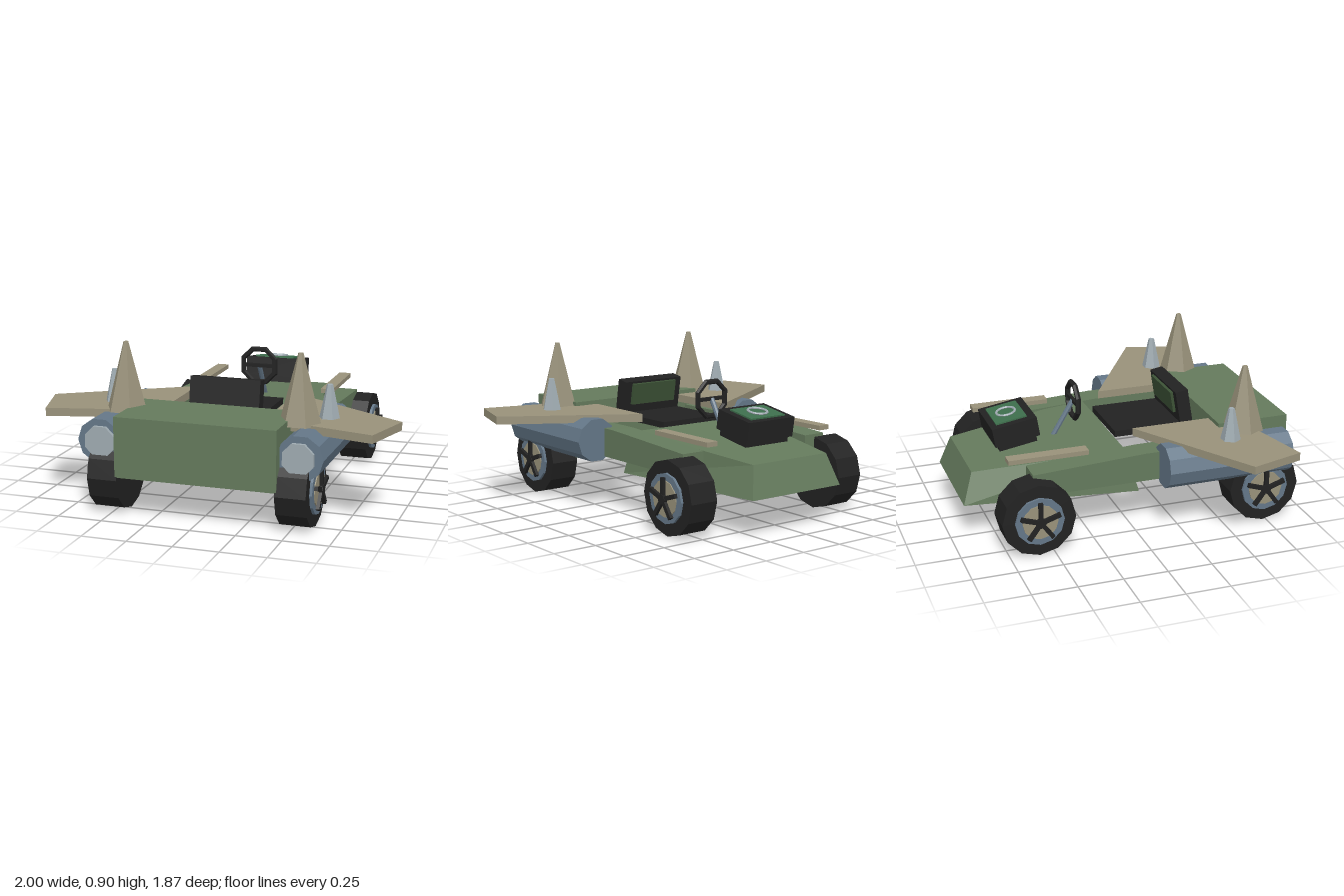
import * as THREE from 'three';

const mat = (name, color) => {
  const m = new THREE.MeshStandardMaterial({ color });
  m.name = name;
  return m;
};

export function createModel() {
  const model = new THREE.Group();
  model.name = 'buggy';
  const green = mat('body green', 0x647a5c);
  const beige = mat('bone beige', 0x98917a);
  const steel = mat('steel blue', 0x647788);
  const silver = mat('light silver', 0x9fabb1);
  const black = mat('black', 0x222222);
  const screenGreen = mat('screen green', 0x3d6e4c);
  const padGreen = mat('pad green', 0x3c5236);

  // Adds a faceted mesh
  const add = (name, geo, material, x = 0, y = 0, z = 0, parent = model) => {
    const g = geo.index ? geo.toNonIndexed() : geo;
    g.computeVertexNormals();
    const mesh = new THREE.Mesh(g, material);
    mesh.name = name;
    mesh.position.set(x, y, z);
    parent.add(mesh);
    return mesh;
  };
  const box = (w, h, d) => new THREE.BoxGeometry(w, h, d);
  const cyl = (r, len, sides) => new THREE.CylinderGeometry(r, r, len, sides);
  const poly = (pts) => new THREE.Shape(pts.map(([a, b]) => new THREE.Vector2(a, b)));
  const extrude = (pts, depth) => new THREE.ExtrudeGeometry(poly(pts), { depth, bevelEnabled: false });

  // Large box at the +z end
  add('engineBox', box(0.895, 0.333, 0.42), green, 0, 0.39, 0.72);

  // Tapered nose: a box with its eight corners moved
  const nose = box(1, 1, 1);
  const p = nose.attributes.position;
  for (let i = 0; i < p.count; i++) {
    const sx = Math.sign(p.getX(i)), top = p.getY(i) > 0, inner = p.getZ(i) > 0;
    const [x, y, z] = top
      ? (inner ? [0.407, 0.458, -0.03] : [0.26, 0.385, -0.87])
      : (inner ? [0.44, 0.212, 0.04] : [0.31, 0.212, -0.93]);
    p.setXYZ(i, sx * x, y, z);
  }
  add('nose', nose, green);

  // Wheel with hub, disc and five spokes
  const wheel = (s, z) => {
    const w = new THREE.Group();
    w.name = 'wheel';
    w.position.set(s * 0.52, 0.206, z);
    const disc = (name, r, x0, x1, sides, m) => {
      const g = cyl(r, x1 - x0, sides).rotateZ(Math.PI / 2);
      add(name, g, m, s * (x0 + x1) / 2, 0, 0, w);
    };
    disc('tire', 0.206, -0.083, 0.085, 12, black);
    disc('rim', 0.137, 0.08, 0.1, 12, steel);
    disc('hubDisc', 0.1, 0.09, 0.106, 12, beige);
    disc('hubCap', 0.028, 0.1, 0.127, 8, black);
    for (let i = 0; i < 5; i++) {
      const spoke = box(0.02, 0.115, 0.024).translate(0, 0.0575, 0).rotateX(i * Math.PI * 0.4);
      add('spoke', spoke, black, s * 0.114, 0, 0, w);
    }
    model.add(w);
  };

  for (const s of [1, -1]) {
    wheel(s, 0.73);
    wheel(s, -0.587);

    // Side rail joining nose and engine box, profile in (-z, y)
    const rail = extrude([[-0.55, 0.3], [0.59, 0.3], [0.59, 0.428], [-0.05, 0.463], [-0.55, 0.463]], 0.14);
    rail.rotateY(Math.PI / 2).translate(-0.07, 0, 0);
    add('sideRail', rail, green, s * 0.435);

    // Jet pod and end cap
    const pod = cyl(0.125, 0.735, 10).rotateX(Math.PI / 2).rotateZ(Math.PI / 2);
    add('pod', pod, steel, s * 0.555, 0.4, 0.5025);
    const cap = cyl(0.09, 0.04, 8).rotateX(Math.PI / 2).rotateZ(Math.PI / 8);
    add('podCap', cap, silver, s * 0.548, 0.4, 0.87);

    // Wing plate, outline in (x, -z)
    const wing = extrude([[0.3, -0.05], [0.3, -0.64], [0.91, -0.785], [1, -0.48]].map(([x, y]) => [s * x, y]), 0.045);
    add('wing', wing.rotateX(-Math.PI / 2), beige, 0, 0.489);

    // Spikes standing on the wing
    const spike = (name, r, rt, h, x, z, m) =>
      add(name, new THREE.CylinderGeometry(rt, r, h, 6).rotateY(Math.PI / 6), m, s * x, 0.525 + h / 2, z);
    spike('largeSpike', 0.115, 0.014, 0.377, 0.49, 0.637, beige);
    spike('smallSpike', 0.058, 0.017, 0.19, 0.615, 0.508, silver);

    // Flat bar beside the nose
    add('sideBar', box(0.07, 0.026, 0.455), beige, s * 0.4, 0.486, -0.478);
  }

  // Seat with tilted backrest and inset pad
  add('seatCushion', box(0.405, 0.035, 0.46), black, 0, 0.468, 0.21);
  const back = new THREE.Group();
  back.name = 'seatBack';
  back.position.set(0, 0.565, 0.402);
  back.rotation.x = -0.17;
  model.add(back);
  add('backrest', box(0.405, 0.23, 0.075), black, 0, 0, 0, back);
  add('backPad', box(0.31, 0.125, 0.02), padGreen, 0, 0.04, -0.044, back);

  // Steering wheel and column
  const steering = new THREE.Group();
  steering.name = 'steeringWheel';
  steering.position.set(0, 0.625, -0.203);
  model.add(steering);
  add('wheelRing', new THREE.TorusGeometry(0.105, 0.016, 6, 8).rotateZ(Math.PI / 8), black, 0, 0, 0, steering);
  add('wheelBar', box(0.2, 0.02, 0.02), black, 0, 0, 0, steering);
  const from = new THREE.Vector3(0, 0.625, -0.205), to = new THREE.Vector3(0, 0.425, -0.325);
  const column = add('steeringColumn', cyl(0.015, from.distanceTo(to), 8), steel);
  column.position.copy(from).lerp(to, 0.5);
  column.quaternion.setFromUnitVectors(new THREE.Vector3(0, 1, 0), from.clone().sub(to).normalize());

  // Tilted console with screen and ring
  const console_ = new THREE.Group();
  console_.name = 'console';
  console_.position.set(0, 0.54, -0.585);
  console_.rotation.x = -0.165;
  model.add(console_);
  add('consoleBox', box(0.325, 0.112, 0.26), black, 0, 0, 0, console_);
  add('consoleBase', box(0.3, 0.05, 0.22), black, 0, -0.065, 0, console_);
  add('screen', box(0.24, 0.009, 0.18), screenGreen, 0, 0.06, -0.005, console_);
  add('screenRing', new THREE.TorusGeometry(0.054, 0.007, 6, 14).rotateX(Math.PI / 2), silver, 0, 0.069, -0.005, console_);

  return model;
}
